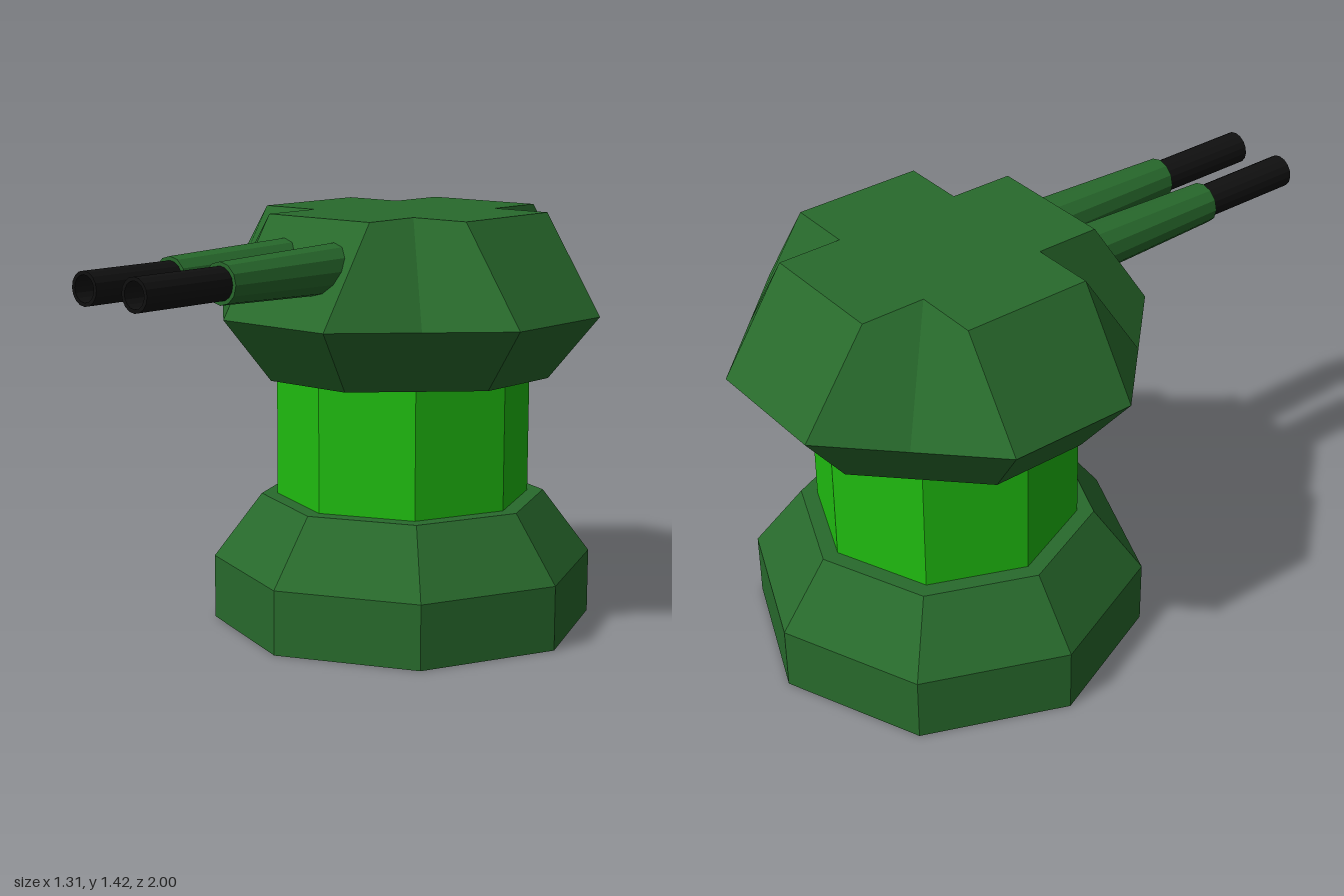
import * as THREE from 'three';

const AXIS_Z = -0.345; // centre line of the tower
const paint = (color, flatShading = true) => new THREE.MeshStandardMaterial({ color, flatShading });

function add(parent, name, geometry, material) {
  const mesh = new THREE.Mesh(geometry, material);
  mesh.name = name;
  parent.add(mesh);
  return mesh;
}

// Armoured head: one quadrant of flat panels, turned four times about y
function headGeometry() {
  const positions = [], normals = [];
  const up = new THREE.Vector3(0, 1, 0);
  const v = (x, y, z) => new THREE.Vector3(x, y, z);

  // four-cornered panel with one common normal, split from b to d
  const panel = (corners, angle) => {
    const [a, b, c, d] = corners.map(p => p.clone().applyAxisAngle(up, angle));
    const n = c.clone().sub(a).cross(d.clone().sub(b)).normalize();
    for (const p of [a, b, d, b, c, d]) {
      positions.push(p.x, p.y, p.z);
      normals.push(n.x, n.y, n.z);
    }
  };

  const low = 0.875, mid = 1.09, top = 1.42, w = 0.218;
  const topL = v(-w, top, 0.435), topR = v(w, top, 0.435), topSide = v(0.435, top, w);
  const notch = v(w, top, w), notchL = v(-w, top, w);
  const midL = v(-w, mid, 0.655), midR = v(w, mid, 0.655), midSide = v(0.655, mid, w);
  const corner = v(0.4365, mid, 0.4365);
  const lowL = v(-0.163, low, 0.49), lowR = v(0.163, low, 0.49), lowSide = v(0.49, low, 0.163);

  for (let i = 0; i < 4; i++) {
    const angle = i * Math.PI / 2;
    panel([midL, midR, topR, topL], angle);            // sloped face
    panel([midR, corner, notch, topR], angle);         // notched corner, two halves
    panel([midSide, topSide, notch, corner], angle);
    panel([lowL, lowR, midR, midL], angle);            // undercut face
    panel([lowR, lowSide, midSide, midR], angle);      // undercut corner
    panel([topL, topR, notch, notchL], angle);         // arm of the roof
    panel([v(0, low, 0), lowSide, lowR, lowL], angle); // underside
  }
  panel([notchL, notch, v(w, top, -w), v(-w, top, -w)], 0); // roof centre

  const geometry = new THREE.BufferGeometry();
  geometry.setAttribute('position', new THREE.Float32BufferAttribute(positions, 3));
  geometry.setAttribute('normal', new THREE.Float32BufferAttribute(normals, 3));
  return geometry;
}

// Gun: tapered sleeve with a hollow barrel, built along +z
function makeGun(name, x, green, black) {
  const gun = new THREE.Group();
  gun.name = name;
  const sleeveBack = 0, sleeveFront = 0.65, tip = 1;

  const sleeve = new THREE.CylinderGeometry(0.067, 0.086, sleeveFront - sleeveBack, 12);
  sleeve.rotateX(Math.PI / 2).translate(0, 0, (sleeveFront + sleeveBack) / 2);
  add(gun, 'sleeve', sleeve, green);

  const profile = [[0.054, sleeveFront], [0.054, tip], [0.042, tip], [0.042, sleeveFront]]
    .map(([r, z]) => new THREE.Vector2(r, z));
  add(gun, 'barrel', new THREE.LatheGeometry(profile, 16).rotateX(Math.PI / 2), black);

  gun.position.set(x, 1.27, 0);
  return gun;
}

export function createModel() {
  const model = new THREE.Group();
  model.name = 'turret';
  const green = paint(0x286a2c);
  const bright = paint(0x1fbc10);
  const black = paint(0x101010);
  const headPaint = paint(0x286a2c, false);

  // Octagonal tower: base, bevel and column
  const tower = new THREE.Group();
  tower.name = 'tower';
  tower.position.z = AXIS_Z;
  const octagon = (name, rTop, rBottom, y0, y1, material) =>
    add(tower, name, new THREE.CylinderGeometry(rTop, rBottom, y1 - y0, 8), material)
      .position.y = (y0 + y1) / 2;

  const foot = [[0, 0], [0.655, 0], [0.655, 0.22], [0.49, 0.44], [0, 0.44]]
    .map(([r, y]) => new THREE.Vector2(r, y));
  add(tower, 'base', new THREE.LatheGeometry(foot, 8), green);
  octagon('column', 0.435, 0.435, 0.44, 0.875, bright);
  add(tower, 'head', headGeometry(), headPaint);
  model.add(tower);

  // Twin guns
  model.add(makeGun('leftGun', 0.108, green, black));
  model.add(makeGun('rightGun', -0.108, green, black));
  return model;
}
